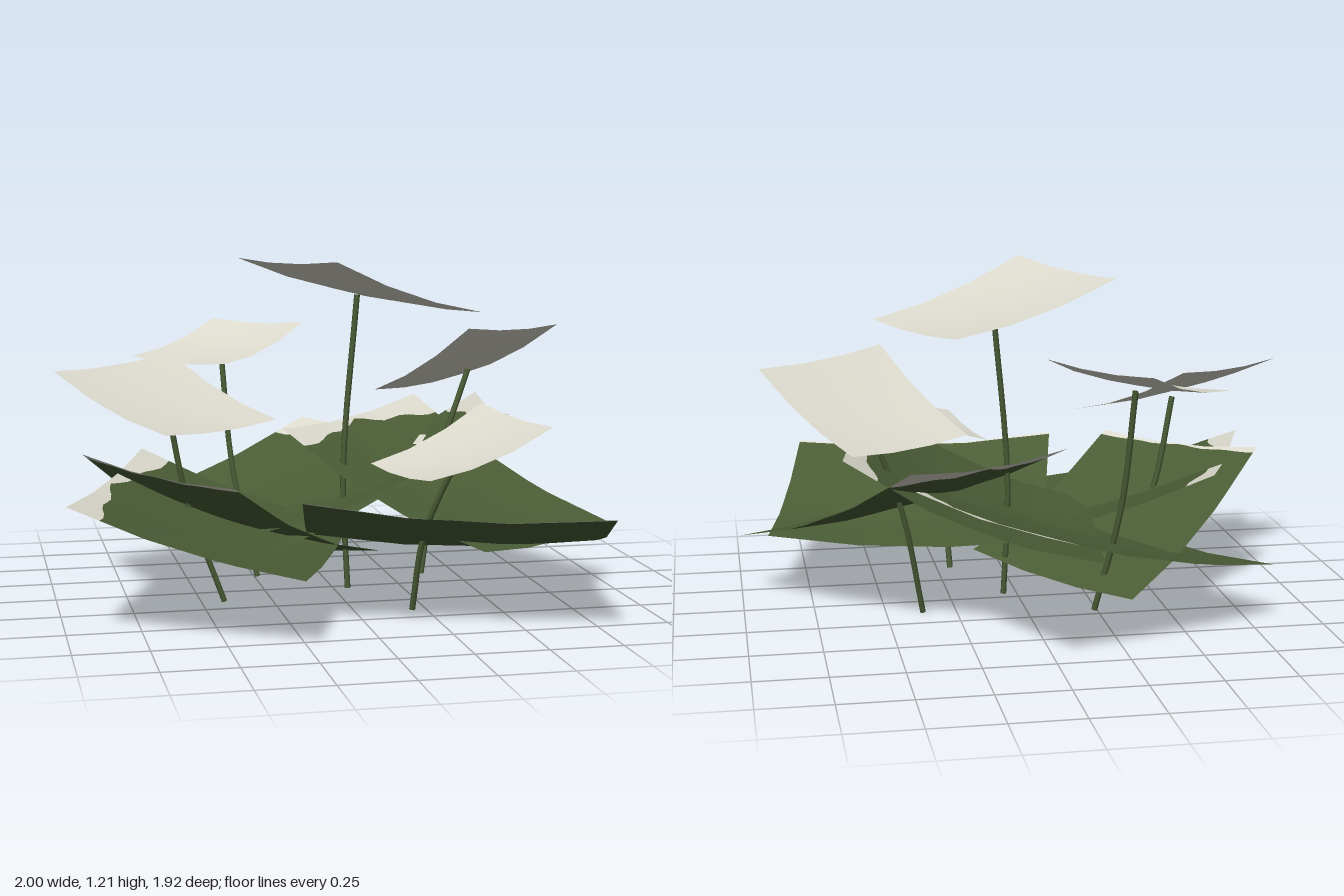
import * as THREE from 'three';

const cream = new THREE.MeshStandardMaterial({ color: 0xdddbce, side: THREE.DoubleSide });
cream.name = 'cream petal';
const green = new THREE.MeshStandardMaterial({ color: 0x4b5d36, side: THREE.DoubleSide });
green.name = 'leaf green';

// Bend in three straight segments
const bend = k => Math.min(1, 3 * k, 3 * (1 - k));

// Sagging four-cornered sheet: high edge a-b, low edge d-c; s runs along the edge, t from low to high
function sheetPoint([a, b, c, d], s, t, sagS, sagT) {
  const mix = (p, q, k) => p.map((v, i) => v + (q[i] - v) * k);
  const p = mix(mix(d, c, s), mix(a, b, s), t);
  p[1] -= sagS * bend(s) + sagT * bend(t);
  return p;
}

// Grid between the borders t0(s) and t1(s)
function sheet(name, corners, material, sagS, sagT, t0, t1, ns, nt) {
  const pos = [], index = [];
  for (let j = 0; j <= nt; j++) {
    for (let i = 0; i <= ns; i++) {
      const s = i / ns;
      const t = t0(s) + (t1(s) - t0(s)) * j / nt;
      pos.push(...sheetPoint(corners, s, t, sagS, sagT));
    }
  }
  // Pick the winding so that the faces look upwards
  const [a, b, , d] = corners;
  const up = (b[2] - a[2]) * (a[0] - d[0]) - (b[0] - a[0]) * (a[2] - d[2]) > 0;
  for (let j = 0; j < nt; j++) {
    for (let i = 0; i < ns; i++) {
      const p = j * (ns + 1) + i, q = p + 1, r = p + ns + 1, u = r + 1;
      if (up) index.push(p, r, q, q, r, u);
      else index.push(p, q, r, q, u, r);
    }
  }
  const g = new THREE.BufferGeometry();
  g.setAttribute('position', new THREE.Float32BufferAttribute(pos, 3));
  g.setIndex(index);
  g.computeVertexNormals();
  const mesh = new THREE.Mesh(g, material);
  mesh.name = name;
  return mesh;
}

// Leaf with a cream margin along its high edge, widest at the corners
function leaf(name, corners, margin, sagS, sagT) {
  const group = new THREE.Group();
  group.name = name;
  const border = s => 1 - margin * (0.2 + 0.8 * Math.abs(2 * s - 1) + 0.08 * Math.sin(s * 23));
  group.add(sheet('blade', corners, green, sagS, sagT, () => 0, border, 18, 9));
  group.add(sheet('margin', corners, cream, sagS, sagT, border, () => 1, 18, 1));
  return group;
}

// Petal card on a slightly curved stem
function flower({ corners, stem }) {
  const group = new THREE.Group();
  group.name = 'flower';
  group.add(sheet('petal', corners, cream, 0.012, 0.022, () => 0, () => 1, 3, 3));
  const curve = new THREE.CatmullRomCurve3(stem.map(p => new THREE.Vector3(...p)));
  const mesh = new THREE.Mesh(new THREE.TubeGeometry(curve, 8, 0.011, 6), green);
  mesh.name = 'stem';
  group.add(mesh);
  return group;
}

export function createModel() {
  const model = new THREE.Group();
  model.name = 'plant';

  // Leaves: two high corners, then the two low corners; margin width and the two sags
  const leaves = [
    ['backLeaf', [[0.08, 0.49, -0.96], [0.57, 0.54, -0.05], [-0.35, 0.20, 0.42], [-0.83, 0.21, -0.46]], 0.14, 0.03, 0.03],
    ['leftBackLeaf', [[0.46, 0.62, -0.60], [-0.16, 0.57, -0.10], [0.38, 0.25, 0.67], [1.0, 0.23, 0.17]], 0.12, 0.022, 0.045],
    ['leftLeaf', [[0.67, 0.64, -0.45], [0.53, 0.68, 0.45], [-0.33, 0.27, 0.32], [-0.20, 0.28, -0.58]], 0.13, 0.025, 0.06],
    ['frontLeaf', [[-0.25, 0.45, 0.72], [0.735, 0.40, 0.96], [0.90, 0.21, 0.22], [-0.08, 0.21, -0.02]], 0.012, 0.03, 0.045],
    ['rightFrontLeaf', [[-1.0, 0.45, 0.63], [-0.66, 0.49, -0.26], [0.07, 0.22, -0.02], [-0.27, 0.23, 0.88]], 0.14, 0.022, 0.025],
    ['rightLeaf', [[-0.9, 0.52, 0.02], [-0.45, 0.48, 0.59], [0.15, 0.15, 0.12], [-0.32, 0.11, -0.46]], 0.03, 0.02, 0.045],
  ];
  for (const l of leaves) model.add(leaf(...l));

  // Flowers: same corner order, stems from the ground up
  const flowers = [
    { corners: [[-0.31, 1.19, -0.19], [-0.07, 1.205, 0.415], [0.50, 1.01, 0.20], [0.28, 1.03, -0.41]],
      stem: [[0.05, 0, 0.04], [0.035, 0.43, 0.03], [0.09, 1.065, 0.01]] },
    { corners: [[-1.0, 0.83, 0.15], [-0.56, 0.85, -0.19], [-0.24, 0.65, 0.20], [-0.67, 0.66, 0.565]],
      stem: [[-0.42, 0, 0.15], [-0.55, 0.37, 0.16], [-0.615, 0.69, 0.18]] },
    { corners: [[-0.33, 0.93, -0.68], [-0.04, 0.94, -0.33], [-0.38, 0.82, -0.04], [-0.68, 0.82, -0.38]],
      stem: [[-0.24, 0, -0.21], [-0.32, 0.40, -0.28], [-0.35, 0.82, -0.34]] },
    { corners: [[0.93, 0.92, -0.24], [0.49, 0.94, 0.07], [0.23, 0.68, -0.30], [0.65, 0.69, -0.61]],
      stem: [[0.37, 0, -0.13], [0.45, 0.40, -0.20], [0.58, 0.755, -0.25]] },
    { corners: [[0.575, 0.68, 0.775], [0.475, 0.70, 0.29], [0.06, 0.51, 0.36], [0.14, 0.53, 0.85]],
      stem: [[0.20, 0, 0.40], [0.22, 0.28, 0.48], [0.31, 0.555, 0.57]] },
  ];
  for (const f of flowers) model.add(flower(f));
  return model;
}
